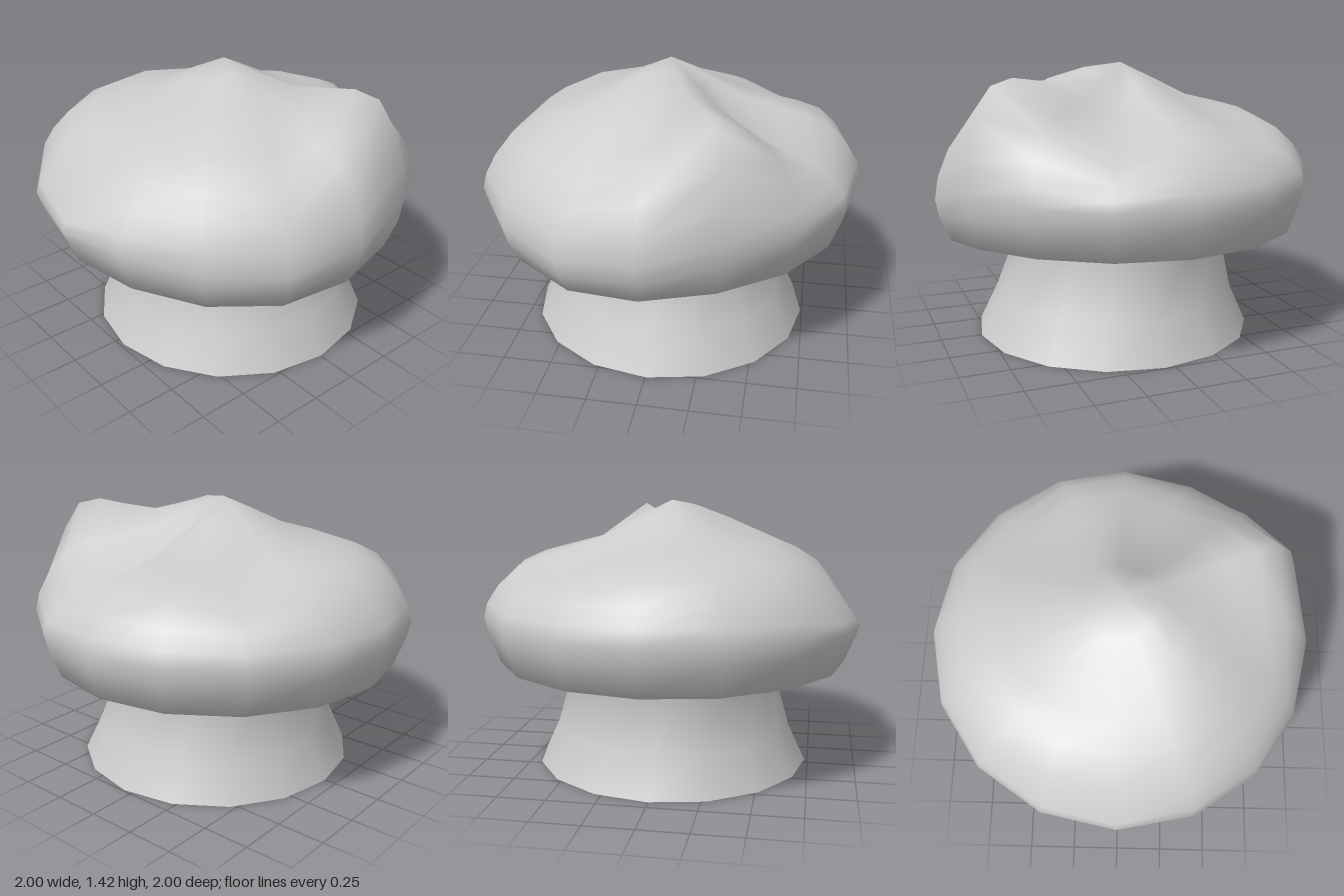
import * as THREE from 'three';

const SIDES = 16;

// Cap heights from the apex to the lower lip; ring k has radius sin(k * PI / 16)
const capHeights = [1.42, 1.33, 1.24, 1.2, 1.16, 1.1, 1.0, 0.905, 0.83, 0.74, 0.585];

// Rings below the lip: radius, height, x shift, z shift
const lowerRings = [
  [0.83, 0.585, 0, 0], [0.69, 0.585, 0, 0], [0.535, 0.58, -0.005, 0.005], // underside to neck
  [0.645, 0.2, 0.005, 0.045], [0.738, 0, 0.005, 0.05],                    // flaring stem
];

// Lumps and hollows on the cap: angle from +x towards +z, ring, amount, spread in angle and rings
const lumps = [
  [67.5, 5, 0.24, 17, 2.5],    // tall front knob
  [112, 2, 0.1, 45, 1.5],      // shoulder beside the apex
  [112, 5, -0.07, 18, 1.8],    // hollow next to the knob
  [112, 8.5, -0.13, 40, 2],    // drooping front lip
  [185, 6, -0.12, 22, 2.2],    // side hollow
  [315, 4, -0.11, 20, 1.8],    // back hollow
  [20, 3.7, -0.14, 14, 2.7],   // groove behind the knob
];

function lumpOffset(angle, ring) {
  let sum = 0;
  for (const [a, r, amount, wa, wr] of lumps) {
    const d = ((angle - a + 540) % 360) - 180;
    sum += amount * Math.exp(-((d / wa) ** 2) - ((ring - r) / wr) ** 2);
  }
  return sum;
}

export function createModel() {
  const group = new THREE.Group();
  const lip = capHeights.length - 1;
  const ringCount = capHeights.length + lowerRings.length;
  const neck = lip + 3;
  const positions = [0, capHeights[0], 0];

  // One continuous skin from the apex down to the open foot
  for (let k = 1; k < ringCount; k++) {
    const [r, y, cx, cz] = k <= lip
      ? [Math.sin((k * Math.PI) / 16), capHeights[k], 0, 0]
      : lowerRings[k - lip - 1];
    for (let j = 0; j < SIDES; j++) {
      const deg = (j * 360) / SIDES;
      const t = THREE.MathUtils.degToRad(deg);
      const lift = k < neck ? lumpOffset(deg, k) : 0;
      positions.push(cx + r * Math.cos(t), y + lift, cz + r * Math.sin(t));
    }
  }

  const id = (k, j) => (k === 0 ? 0 : 1 + (k - 1) * SIDES + (j % SIDES));
  const facesBetween = (from, to) => {
    const index = [];
    for (let k = from; k < to; k++) {
      for (let j = 0; j < SIDES; j++) {
        const a = id(k, j), b = id(k + 1, j), c = id(k + 1, j + 1), d = id(k, j + 1);
        index.push(a, c, b);
        if (k > 0) index.push(a, d, c);
      }
    }
    return index;
  };

  // Normals come from the whole skin so the neck stays smooth
  const skin = new THREE.BufferGeometry();
  skin.setAttribute('position', new THREE.Float32BufferAttribute(positions, 3));
  skin.setIndex(facesBetween(0, ringCount - 1));
  skin.computeVertexNormals();

  const material = new THREE.MeshStandardMaterial({ color: 0xcccccc, side: THREE.DoubleSide });
  const addPart = (name, from, to) => {
    const geometry = skin.clone();
    geometry.setIndex(facesBetween(from, to));
    const mesh = new THREE.Mesh(geometry.toNonIndexed(), material);
    mesh.name = name;
    group.add(mesh);
  };
  addPart('cap', 0, neck);
  addPart('stem', neck, ringCount - 1);

  group.name = 'mushroom';
  return group;
}
